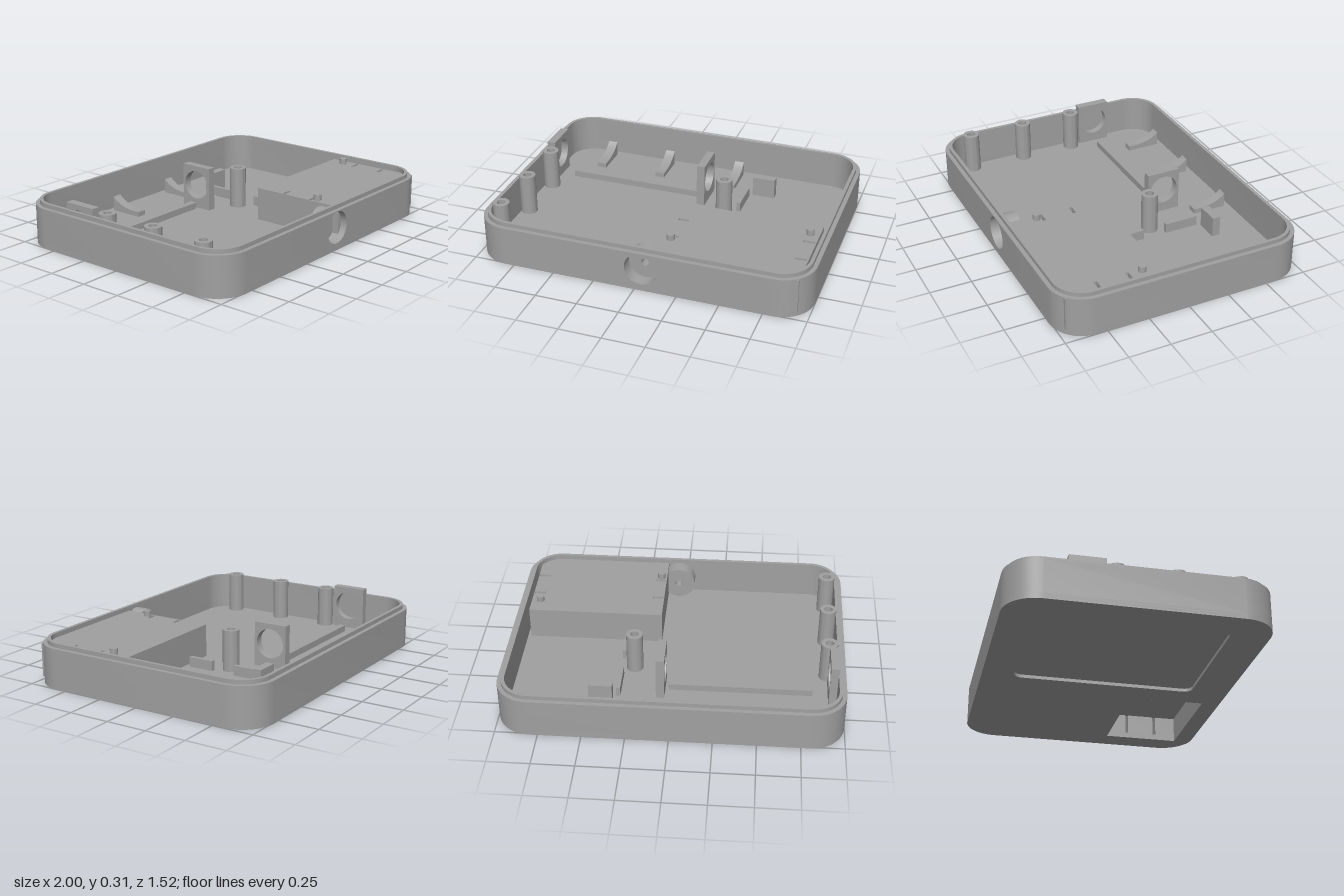
import * as THREE from 'three';
import { toCreasedNormals } from 'three/addons/utils/BufferGeometryUtils.js';

const plastic = new THREE.MeshStandardMaterial({ color: 0xa0a0a0 });
plastic.name = 'greyPlastic';

const FLOOR = 0.035, RIM = 0.24, BAY_TOP = 0.236;

export function createModel() {
  const model = new THREE.Group();

  function add(name, geometry, x = 0, y = 0, z = 0) {
    const mesh = new THREE.Mesh(toCreasedNormals(geometry, 0.5), plastic);
    mesh.name = name;
    mesh.position.set(x, y, z);
    model.add(mesh);
    return mesh;
  }

  // Outline in plan: x0..x1, z0..z1, with corner radius r
  function plan(x0, z0, x1, z1, r = 0) {
    const s = new THREE.Shape(), a = -z1, b = -z0, q = Math.PI / 2;
    if (!r) {
      s.moveTo(x0, a); s.lineTo(x1, a); s.lineTo(x1, b); s.lineTo(x0, b); s.closePath();
      return s;
    }
    s.absarc(x1 - r, a + r, r, -q, 0);
    s.absarc(x1 - r, b - r, r, 0, q);
    s.absarc(x0 + r, b - r, r, q, 2 * q);
    s.absarc(x0 + r, a + r, r, 2 * q, 3 * q);
    s.closePath();
    return s;
  }

  function disc(x, z, r) {
    const p = new THREE.Path();
    p.absarc(x, -z, r, 0, Math.PI * 2);
    return p;
  }

  // Plan outline raised from y0 to y1
  function slab(name, shape, holes, y0, y1) {
    shape.holes.push(...holes);
    const g = new THREE.ExtrudeGeometry(shape, { depth: y1 - y0, bevelEnabled: false, curveSegments: 16 });
    g.rotateX(-Math.PI / 2);
    return add(name, g, 0, y0, 0);
  }

  function block(name, x0, x1, y0, y1, z0, z1) {
    add(name, new THREE.BoxGeometry(x1 - x0, y1 - y0, z1 - z0),
      (x0 + x1) / 2, (y0 + y1) / 2, (z0 + z1) / 2);
  }

  function lathe(points) {
    return new THREE.LatheGeometry(points.map(([r, y]) => new THREE.Vector2(r, y)), 40);
  }

  const insetPlan = (d) => plan(-1 + d, -0.76 + d, 1 - d, 0.76 - d, 0.2 - d);
  const opening = () => plan(0.18, 0.185, 0.85, 0.65);

  // Floor in two layers, with a shallow recess underneath
  slab('floorUnderside', insetPlan(0), [opening(), plan(-0.815, -0.57, 0.025, 0.53, 0.05)], 0, 0.02);
  slab('floor', insetPlan(0), [opening()], 0.02, FLOOR);

  // Outer wall, open at the front for the socket panel
  const samples = [[0.25, -0.56, -90]];
  [[0.8, -0.56], [0.8, 0.56], [-0.8, 0.56], [-0.8, -0.56]].forEach(([cx, cy], i) => {
    for (let k = 0; k <= 12; k++) samples.push([cx, cy, -90 + i * 90 + k * 7.5]);
  });
  samples.push([-0.2, -0.56, 270]);
  const ring = (r) => samples.map(([cx, cy, deg]) => {
    const a = THREE.MathUtils.degToRad(deg);
    return new THREE.Vector2(cx + r * Math.cos(a), cy + r * Math.sin(a));
  });
  slab('outerWall', new THREE.Shape([...ring(0.2), ...ring(0.155).reverse()]), [], FLOOR, RIM);
  slab('lip', insetPlan(0.025), [insetPlan(0.045)], RIM, 0.265);

  // Front panel with round hole, and the socket cup behind it
  const panel = new THREE.Shape();
  panel.moveTo(-0.2, FLOOR); panel.lineTo(0.25, FLOOR);
  panel.lineTo(0.25, RIM); panel.lineTo(-0.2, RIM); panel.closePath();
  const hole = new THREE.Path();
  hole.absarc(0.04, 0.139, 0.098, 0, Math.PI * 2);
  panel.holes.push(hole);
  add('frontPanel', new THREE.ExtrudeGeometry(panel, { depth: 0.045, bevelEnabled: false, curveSegments: 24 }), 0, 0, 0.715);
  const cup = lathe([[0.023, 0.63], [0.102, 0.63], [0.102, 0.73], [0.098, 0.73],
    [0.098, 0.68], [0.023, 0.68], [0.023, 0.63]]);
  cup.rotateX(Math.PI / 2);
  // Hidden part of the cup sits inside the wall
  add('socketCup', cup, 0.04, 0.139, 0);

  // Hollow bay, open from below, with contact slots in its side walls
  const bay = () => plan(0.11, 0.13, 0.935, 0.72);
  const slotZ = [0.32, 0.51];
  const slots = () => slotZ.flatMap((z) => [
    plan(0.115, z - 0.01, 0.18, z + 0.01), plan(0.86, z - 0.01, 0.928, z + 0.01)]);
  const cavity = new THREE.Path([
    [0.18, 0.185], [0.18, 0.31], [0.115, 0.31], [0.115, 0.33], [0.18, 0.33],
    [0.18, 0.5], [0.115, 0.5], [0.115, 0.52], [0.18, 0.52], [0.18, 0.65],
    [0.85, 0.65], [0.85, 0.52], [0.928, 0.52], [0.928, 0.5], [0.85, 0.5],
    [0.85, 0.33], [0.928, 0.33], [0.928, 0.31], [0.85, 0.31], [0.85, 0.185],
  ].map(([x, z]) => new THREE.Vector2(x, -z)));
  slab('bayWalls', bay(), [cavity], FLOOR, 0.16);
  slab('bayCeiling', bay(), [...slots(), disc(0.5, 0.43, 0.045)], 0.16, 0.2);
  slab('bayTop', bay(), slots(), 0.2, BAY_TOP);
  for (const [x, z] of [[0.88, 0.235], [0.145, 0.545]]) {
    add('bayPeg', new THREE.CylinderGeometry(0.023, 0.023, 0.036, 24), x, BAY_TOP + 0.017, z);
  }

  // Screw posts with blind holes
  for (const [x, z] of [[-0.91, -0.145], [-0.91, 0.2], [-0.91, 0.557], [0.25, -0.14]]) {
    add('screwPost', lathe([[0.05, FLOOR], [0.05, 0.285], [0.025, 0.285], [0.025, 0.12], [0, 0.12]]), x, 0, z);
  }

  // Upright bearing plates with round holes
  for (const x of [-0.96, 0.05]) {
    const s = new THREE.Shape();
    s.moveTo(0.21, FLOOR); s.lineTo(0.42, FLOOR); s.lineTo(0.42, 0.305); s.lineTo(0.21, 0.305); s.closePath();
    const bore = new THREE.Path();
    bore.absarc(0.315, 0.183, 0.09, 0, Math.PI * 2);
    s.holes.push(bore);
    const g = new THREE.ExtrudeGeometry(s, { depth: 0.05, bevelEnabled: false, curveSegments: 20 });
    g.rotateY(Math.PI / 2);
    add('bearingPlate', g, x, 0, 0);
  }

  // Curved cradles along the back
  for (const x of [-0.7, -0.29, 0.19]) {
    const s = new THREE.Shape();
    s.moveTo(0.47, FLOOR); s.lineTo(0.68, FLOOR); s.lineTo(0.68, 0.125);
    s.quadraticCurveTo(0.62, 0.06, 0.47, 0.065);
    s.closePath();
    const g = new THREE.ExtrudeGeometry(s, { depth: 0.06, bevelEnabled: false, curveSegments: 12 });
    g.rotateY(Math.PI / 2);
    add('cradle', g, x - 0.03, 0, 0);
  }

  // Ribs and stop block on the floor
  block('longRib', -0.82, 0.03, FLOOR, 0.075, -0.34, -0.3);
  block('shortRib', 0.31, 0.335, FLOOR, 0.095, -0.42, -0.21);
  block('shortRib', 0.31, 0.335, FLOOR, 0.095, 0.1 - 0.16, 0.1);
  block('stopBlock', 0.35, 0.49, FLOOR, 0.16, -0.49, -0.44);

  return model;
}
